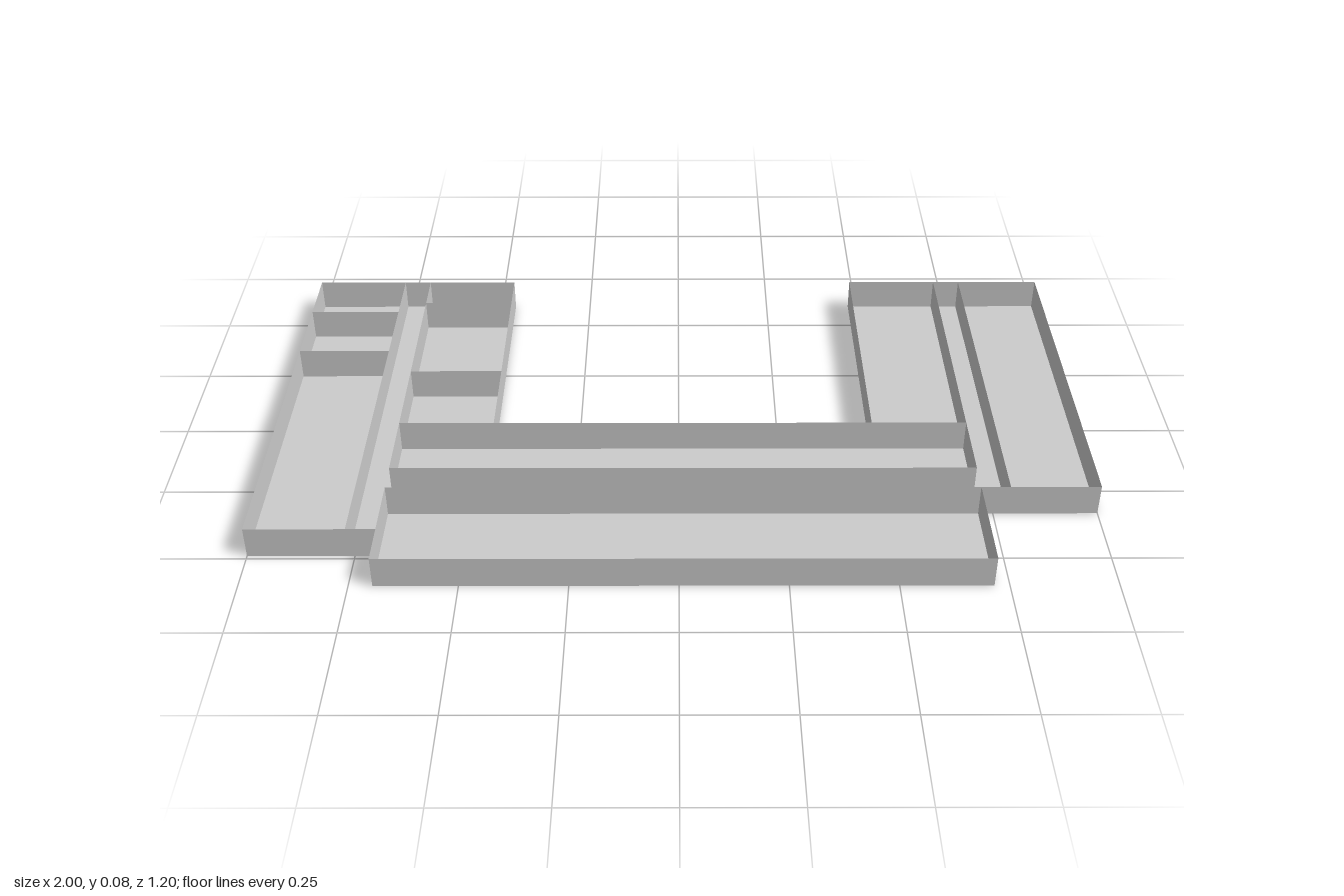
import * as THREE from 'three';

const HEIGHT = 0.08;

export function createModel() {
  const model = new THREE.Group();
  model.name = 'floorPlan';
  const material = new THREE.MeshStandardMaterial({
    color: 0xcccccc, side: THREE.DoubleSide, flatShading: true,
  });

  // Flat floor slab covering a rectangle
  function floor(name, x0, x1, z0, z1) {
    const geo = new THREE.PlaneGeometry(x1 - x0, z1 - z0).rotateX(-Math.PI / 2);
    const mesh = new THREE.Mesh(geo, material);
    mesh.position.set((x0 + x1) / 2, 0, (z0 + z1) / 2);
    mesh.name = name;
    model.add(mesh);
  }

  // Thin upright wall between two plan points
  function wall(name, x0, z0, x1, z1) {
    const geo = new THREE.PlaneGeometry(Math.hypot(x1 - x0, z1 - z0), HEIGHT);
    const mesh = new THREE.Mesh(geo, material);
    mesh.position.set((x0 + x1) / 2, HEIGHT / 2, (z0 + z1) / 2);
    mesh.rotation.y = -Math.atan2(z1 - z0, x1 - x0);
    mesh.name = name;
    model.add(mesh);
  }

  // Plan grid lines shared by floors and walls
  const back = -0.6, front = 0.595;
  const court = 0.075, hallBack = 0.26, hallFront = 0.335, rightFront = 0.49;
  const rOut = -1, rHallOut = -0.765, rHallIn = -0.695, rCourt = -0.46;
  const lOut = 1, lHallOut = 0.785, lHallIn = 0.715, lCourt = 0.48;

  // Floors
  floor('rightOuterFloor', rOut, rHallOut, back, rightFront);
  floor('rightCorridorFloor', rHallOut, rHallIn, back, rightFront);
  floor('rightInnerFloor', rHallIn, rCourt, back, court);
  floor('centralBackFloor', rHallIn, lHallIn, court, hallBack);
  floor('centralCorridorFloor', rHallIn, lHallIn, hallBack, hallFront);
  floor('centralFrontFloor', rHallIn, lHallIn, hallFront, front);
  floor('leftInnerFloor', lCourt, lHallIn, back, court);
  floor('leftCorridorFloor', lHallIn, lHallOut, back, hallFront);
  floor('leftOuterFloor', lHallOut, lOut, back, hallFront);

  // Outer walls, running round the U-shaped outline
  const outline = [
    [rOut, back], [rCourt, back], [rCourt, court], [lCourt, court],
    [lCourt, back], [lOut, back], [lOut, hallFront], [lHallIn, hallFront],
    [lHallIn, front], [rHallIn, front], [rHallIn, rightFront], [rOut, rightFront],
  ];
  outline.forEach((p, i) => wall('outerWall', ...p, ...outline[(i + 1) % outline.length]));

  // Corridor walls
  wall('corridorWall', rHallOut, back, rHallOut, rightFront);
  wall('corridorWall', rHallIn, back, rHallIn, hallBack);
  wall('corridorWall', rHallIn, hallFront, rHallIn, rightFront);
  wall('corridorWall', rHallIn, hallBack, lHallIn, hallBack);
  wall('corridorWall', rHallIn, hallFront, lHallIn, hallFront);
  wall('corridorWall', lHallIn, back, lHallIn, hallBack);
  wall('corridorWall', lHallOut, back, lHallOut, hallFront);

  // Room partitions
  for (const z of [-0.445, -0.25]) wall('partition', rOut, z, rHallOut, z);
  for (const z of [-0.49, -0.155, court]) wall('partition', rHallIn, z, rCourt, z);
  wall('partition', lCourt, court, lHallIn, court);

  return model;
}
